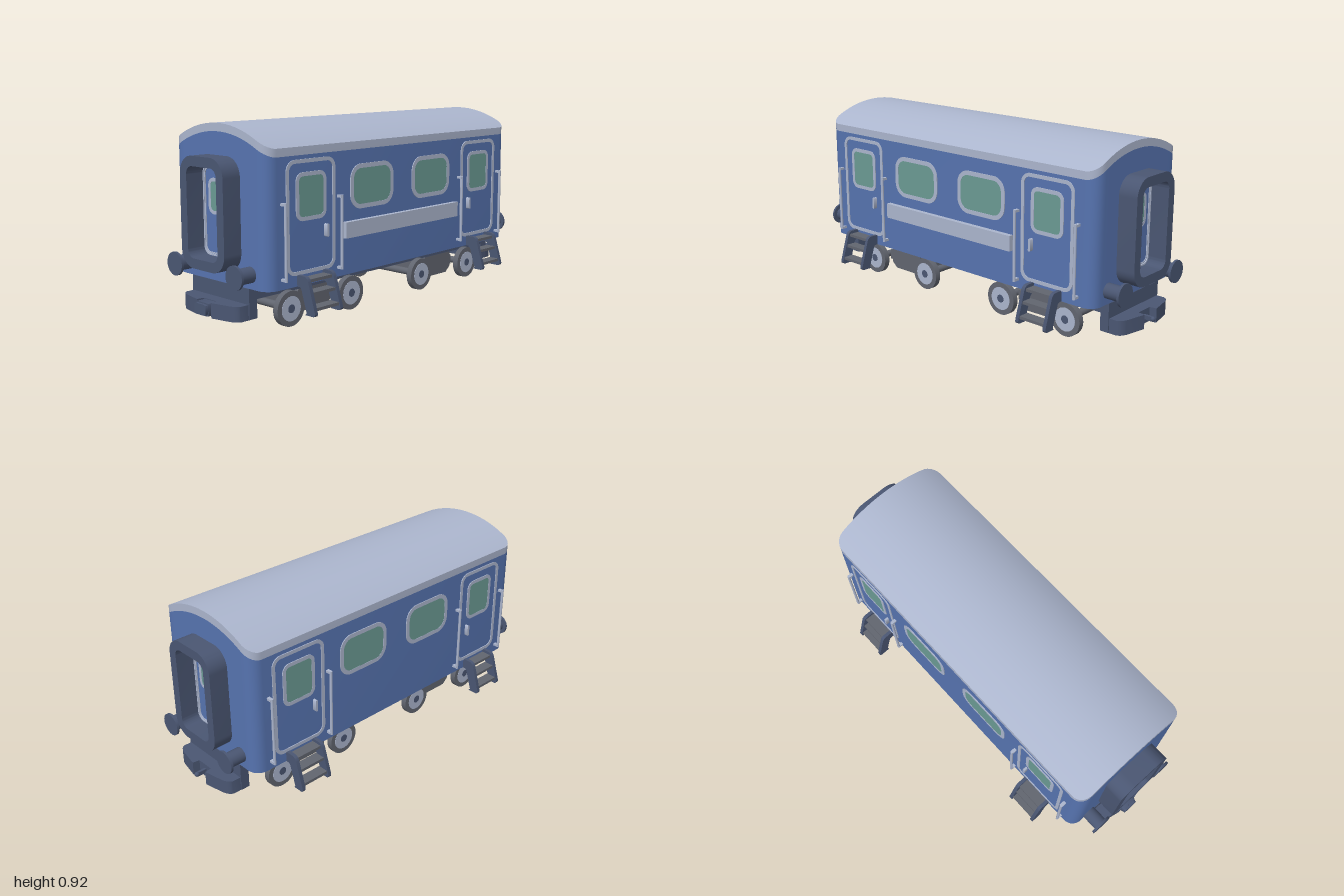
import * as THREE from 'three';
import { toCreasedNormals } from 'three/addons/utils/BufferGeometryUtils.js';

const mat = (name, color) => Object.assign(new THREE.MeshStandardMaterial({ color }), { name });
const blue = mat('body blue', 0x5673af);
const light = mat('light grey', 0xabb5cd);
const navy = mat('dark slate', 0x4a5672);
const grey = mat('metal grey', 0x61656f);
const glass = mat('glass green', 0x6a9a93);

function add(parent, name, geo, material, x = 0, y = 0, z = 0) {
  const m = new THREE.Mesh(geo, material);
  m.name = name;
  m.position.set(x, y, z);
  parent.add(m);
  return m;
}

const box = (w, h, d) => new THREE.BoxGeometry(w, h, d);

// Rounded rectangle centred on the origin
function roundRect(w, h, r, Type = THREE.Shape) {
  const s = new Type(), a = w / 2, b = h / 2;
  s.moveTo(-a + r, -b).lineTo(a - r, -b).absarc(a - r, -b + r, r, -Math.PI / 2, 0);
  s.absarc(a - r, b - r, r, 0, Math.PI / 2);
  s.absarc(-a + r, b - r, r, Math.PI / 2, Math.PI);
  s.absarc(-a + r, -b + r, r, Math.PI, Math.PI * 1.5);
  return s;
}

// Extrusion along z, starting at z = 0
function extrude(shape, depth) {
  const g = new THREE.ExtrudeGeometry(shape, { depth, bevelEnabled: false, curveSegments: 8 });
  return toCreasedNormals(g, 0.6);
}

function ring(w, h, r, t, depth) {
  const s = roundRect(w, h, r);
  s.holes.push(roundRect(w - 2 * t, h - 2 * t, Math.max(r - t, 0.01), THREE.Path));
  return extrude(s, depth);
}

function windowPane(parent, x, y, z, w, h, r, t) {
  add(parent, 'windowFrame', ring(w, h, r, t, 0.004), light, x, y, z);
  add(parent, 'windowGlass', extrude(roundRect(w - 2 * t, h - 2 * t, r - t), 0.003), glass, x, y, z);
}

// Long block with rounded upright corners; floor and ceiling follow a rule of x
function carBlock(floor, ceiling) {
  const W = 0.32, L = 0.88, r = 0.06;
  const g = new THREE.BoxGeometry(2, 2, 2, 32, 1, 1);
  const p = g.attributes.position;
  for (let i = 0; i < p.count; i++) {
    const x = W * Math.sin(p.getX(i) * Math.PI / 2);
    const c = Math.max(0, Math.abs(x) - (W - r));
    const z = L - r + Math.sqrt(Math.max(0, r * r - c * c));
    p.setXYZ(i, x, p.getY(i) > 0 ? ceiling(x) : floor(x), Math.sign(p.getZ(i)) * z);
  }
  return toCreasedNormals(g, 0.6);
}

const arch = top => x => top - 0.576 + Math.sqrt(0.576 ** 2 - x * x);

// Folding-style ladder: profile in x (outward) and y
function makeSteps() {
  const g = new THREE.Group();
  g.name = 'steps';
  const s = new THREE.Shape();
  s.moveTo(0.31, 0.21).lineTo(0.335, 0.21).quadraticCurveTo(0.345, 0.208, 0.348, 0.195);
  s.lineTo(0.318 + 0.06, 0.1 + 0.0);
  s.lineTo(0.37, 0.09).lineTo(0.42, 0.09).quadraticCurveTo(0.433, 0.092, 0.429, 0.11);
  s.lineTo(0.389, 0.24).quadraticCurveTo(0.382, 0.262, 0.36, 0.262).lineTo(0.31, 0.262);
  for (const z of [-0.088, 0.07]) add(g, 'stepSide', extrude(s, 0.018), navy, 0, 0, z);
  for (const [x, y] of [[0.35, 0.24], [0.372, 0.185], [0.394, 0.12]])
    add(g, 'tread', box(0.055, 0.014, 0.145), grey, x, y, 0);
  return g;
}

// One long side, facing local +z
function makeSide(name) {
  const g = new THREE.Group();
  g.name = name;
  const W = 0.32;
  for (const s of [-1, 1]) {
    windowPane(g, s * 0.22, 0.615, W, 0.3, 0.21, 0.07, 0.021);
    add(g, 'doorFrame', ring(0.3, 0.51, 0.05, 0.017, 0.004), light, s * 0.62, 0.515, W);
    windowPane(g, s * 0.62, 0.605, W, 0.185, 0.215, 0.04, 0.018);
    add(g, 'doorHandle', extrude(roundRect(0.013, 0.06, 0.006), 0.02), light, s * 0.533, 0.44, W);
    for (const x of [0.45, 0.795]) {
      add(g, 'handrail', new THREE.CylinderGeometry(0.007, 0.007, 0.345, 10), light, s * x, 0.42, W + 0.025);
      for (const y of [0.255, 0.585])
        add(g, 'handrailBracket', box(0.016, 0.012, 0.03), light, s * x, y, W + 0.012);
    }
    const steps = makeSteps();
    steps.rotation.y = -Math.PI / 2;
    steps.position.x = s * 0.62;
    g.add(steps);
  }
  return g;
}

// One end, facing local +z
function makeEnd(name) {
  const g = new THREE.Group();
  g.name = name;
  const L = 0.88;
  add(g, 'gangway', ring(0.3, 0.505, 0.085, 0.046, 0.097), navy, 0, 0.5275, L - 0.002);
  add(g, 'endDoorFrame', ring(0.204, 0.41, 0.04, 0.007, 0.006), light, 0, 0.529, L);
  add(g, 'endDoorInnerFrame', ring(0.186, 0.392, 0.034, 0.006, 0.004), light, 0, 0.529, L);
  windowPane(g, 0, 0.595, L, 0.132, 0.164, 0.035, 0.016);
  for (const x of [-0.21, 0.21]) {
    const shaft = add(g, 'bufferShaft', new THREE.CylinderGeometry(0.036, 0.036, 0.1, 24), navy, x, 0.275, 0.92);
    const head = add(g, 'bufferHead', new THREE.CylinderGeometry(0.055, 0.055, 0.012, 32), navy, x, 0.275, 0.969);
    shaft.rotation.x = head.rotation.x = Math.PI / 2;
  }
  add(g, 'couplerHanger', box(0.4, 0.14, 0.045), navy, 0, 0.14, 0.86);
  // Bumper drawn in plan, with a notch for the coupler
  const s = new THREE.Shape();
  s.moveTo(-0.195, -0.86).lineTo(-0.195, -0.92).quadraticCurveTo(-0.19, -0.945, -0.15, -0.955);
  s.lineTo(-0.05, -0.975).lineTo(-0.045, -0.94).lineTo(0.045, -0.94).lineTo(0.05, -0.975);
  s.lineTo(0.15, -0.955).quadraticCurveTo(0.19, -0.945, 0.195, -0.92).lineTo(0.195, -0.86);
  add(g, 'bumper', extrude(s, 0.07), navy, 0, 0.068, 0).rotation.x = -Math.PI / 2;
  return g;
}

// Two-axle bogie centred on z = 0
function makeBogie(name) {
  const g = new THREE.Group();
  g.name = name;
  const s = new THREE.Shape();
  [[-0.075, 0.04], [0.075, 0.04], [0.11, 0.07], [0.11, 0.14], [0.095, 0.16], [-0.095, 0.16], [-0.11, 0.14], [-0.11, 0.07]]
    .forEach(([x, y], i) => (i ? s.lineTo(x, y) : s.moveTo(x, y)));
  add(g, 'bogieFrame', extrude(s, 0.36), grey, -0.18).rotation.y = Math.PI / 2;
  add(g, 'bogieBeam', box(0.33, 0.05, 0.28), grey, 0, 0.1, 0);
  const disc = (n, r, t, m, x, z) => {
    add(g, n, new THREE.CylinderGeometry(r, r, t, 32), m, x, 0.083, z).rotation.z = Math.PI / 2;
  };
  for (const z of [-0.198, 0.198]) {
    disc('axle', 0.018, 0.41, grey, 0, z);
    for (const s of [-1, 1]) {
      disc('wheel', 0.083, 0.03, grey, s * 0.215, z);
      disc('wheelDisc', 0.058, 0.003, light, s * 0.23, z);
      disc('wheelHub', 0.02, 0.006, navy, s * 0.23, z);
    }
  }
  return g;
}

export function createModel() {
  const car = new THREE.Group();
  car.name = 'railwayCarriage';

  // Body shell and roof
  add(car, 'body', carBlock(() => 0.21, arch(0.885)), blue);
  add(car, 'roof', carBlock(arch(0.885), arch(0.922)), light);
  add(car, 'underframe', box(0.4, 0.055, 1.68), navy, 0, 0.184, 0);

  // Sides, with a board on the left only
  for (const s of [-1, 1]) {
    const side = makeSide(s > 0 ? 'leftSide' : 'rightSide');
    side.rotation.y = s * Math.PI / 2;
    car.add(side);
  }
  add(car, 'sideBoard', box(0.025, 0.075, 0.84), light, 0.332, 0.423, 0);

  // Ends, with a socket at the front and a knob at the back
  const front = makeEnd('frontEnd'), back = makeEnd('backEnd');
  back.rotation.y = Math.PI;
  car.add(front, back);
  add(front, 'couplerSocket', ring(0.085, 0.06, 0.008, 0.012, 0.045), navy, 0, 0.105, 0.94);
  add(front, 'couplerPlate', extrude(roundRect(0.08, 0.05, 0.012), 0.013), navy, 0, 0.105, 0.985);
  add(back, 'couplerStem', box(0.014, 0.02, 0.05), navy, 0, 0.105, 0.96);
  add(back, 'couplerKnob', new THREE.SphereGeometry(0.012, 16, 12), navy, 0, 0.105, 0.988);

  // Running gear
  for (const s of [-1, 1]) {
    const bogie = makeBogie(s > 0 ? 'frontBogie' : 'backBogie');
    bogie.position.z = s * 0.464;
    car.add(bogie);
  }
  return car;
}
